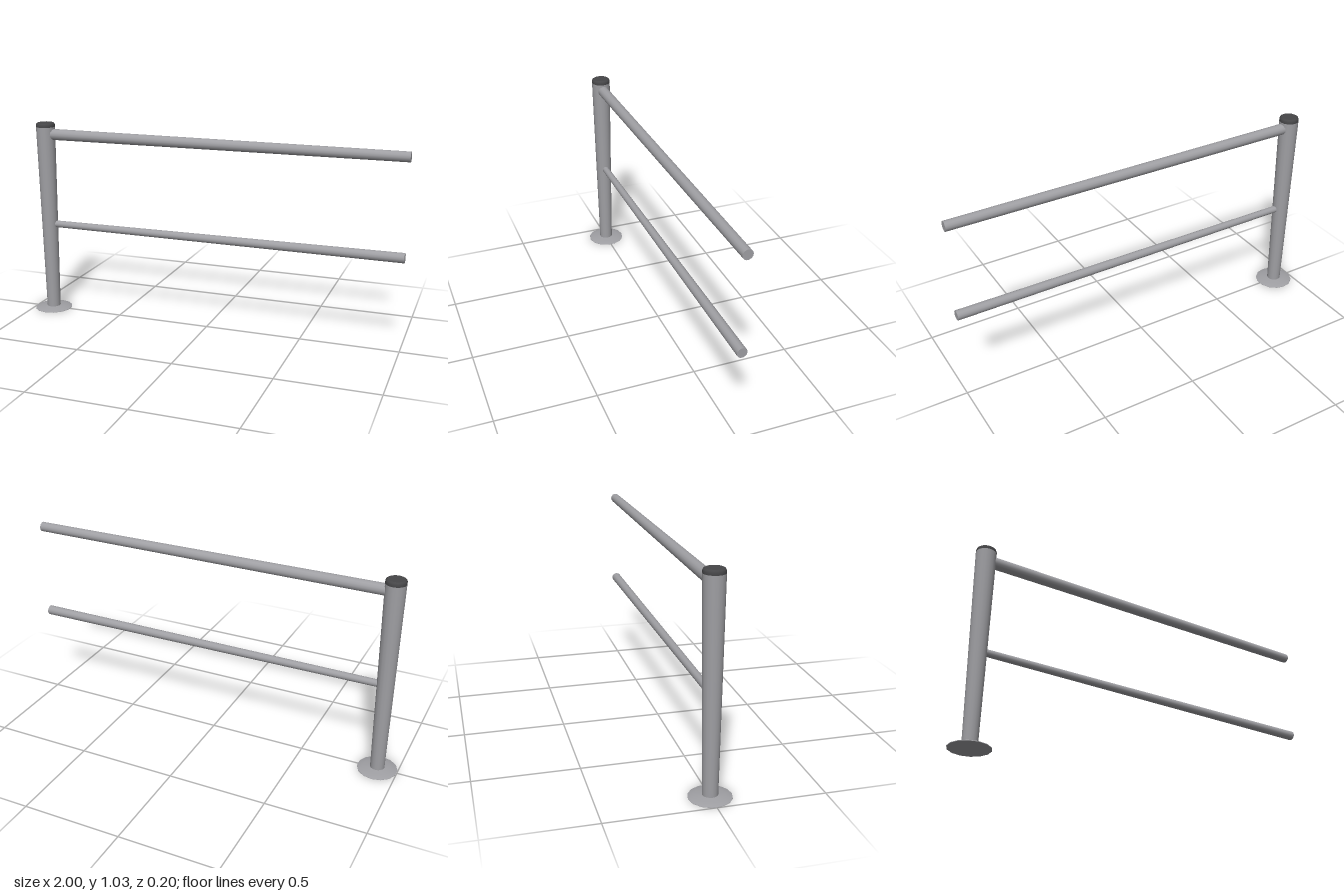
import * as THREE from 'three';

const POST_X = -0.9;

export function createModel() {
  const group = new THREE.Group();
  const metal = new THREE.MeshStandardMaterial({ color: 0xa0a0a4 });
  metal.name = 'grey metal';
  const dark = new THREE.MeshStandardMaterial({ color: 0x464648 });
  dark.name = 'dark cap';

  const add = (name, geometry, material, x, y) => {
    const mesh = new THREE.Mesh(geometry, material);
    mesh.name = name;
    mesh.position.set(x, y, 0);
    group.add(mesh);
    return mesh;
  };
  const turned = (points, sides) =>
    new THREE.LatheGeometry(points.map(([r, y]) => new THREE.Vector2(r, y)), sides);

  // Shallow domed foot plate
  add('footPlate', turned([[0, 0], [0.1, 0], [0.1, 0], [0.1, 0.003], [0.07, 0.009], [0.035, 0.013]], 14), metal, POST_X, 0);

  // Post, widening toward the top
  add('post', new THREE.CylinderGeometry(0.05, 0.036, 1.0, 16, 1, true), metal, POST_X, 0.51);

  // Bevelled dark cap
  add('postCap', turned([[0.05, 1.008], [0.05, 1.018], [0.047, 1.026], [0.04, 1.03], [0.04, 1.03], [0, 1.03]], 16), dark, POST_X, 0);

  // Rails tapering from the post to their free ends
  const start = -0.89;
  const rail = (name, y, postRadius, endRadius) => {
    const geometry = new THREE.CylinderGeometry(endRadius, postRadius, 1 - start, 14);
    geometry.rotateZ(-Math.PI / 2);
    add(name, geometry, metal, (1 + start) / 2, y);
  };
  rail('upperRail', 0.969, 0.029, 0.025);
  rail('lowerRail', 0.481, 0.018, 0.025);

  return group;
}
